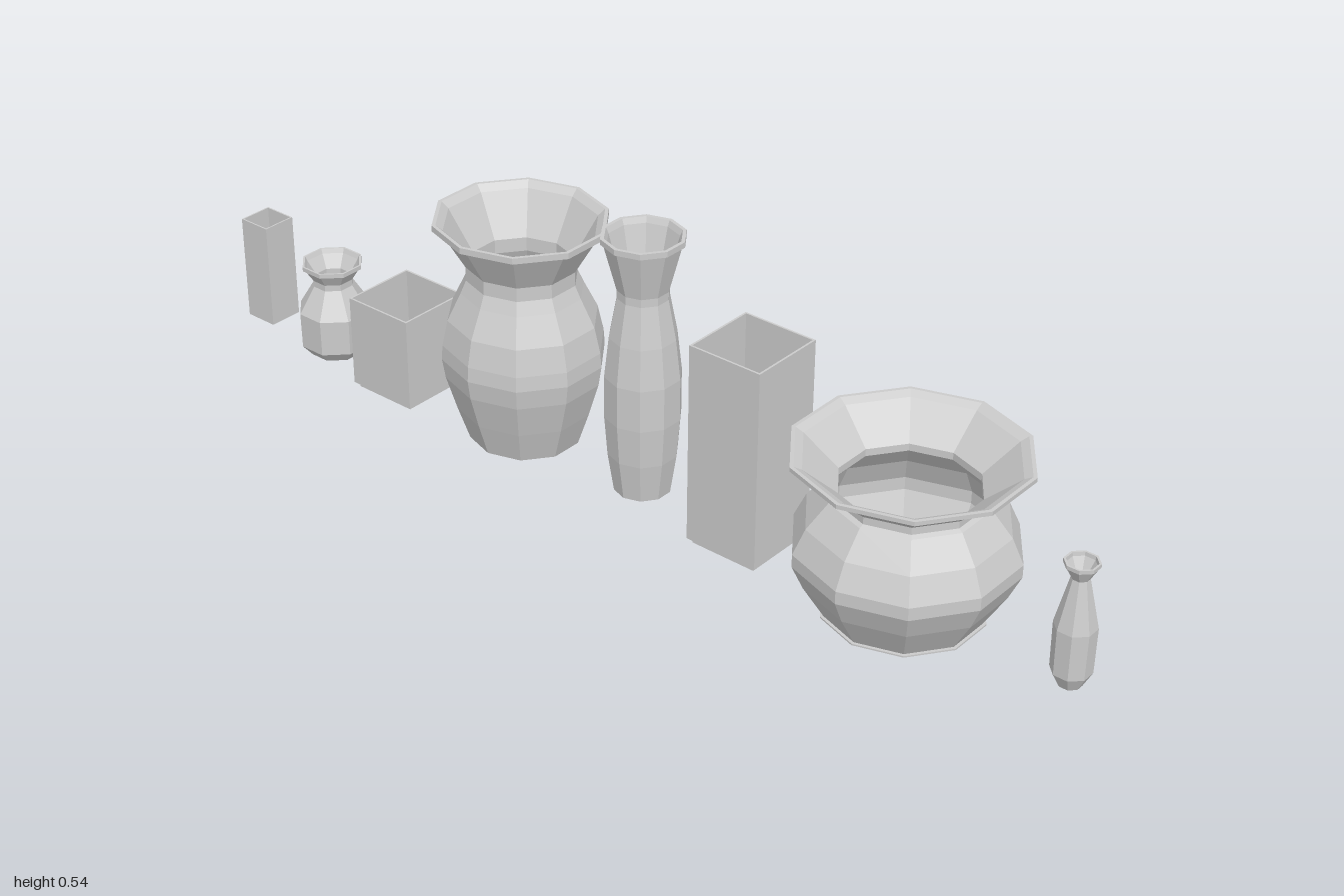
import * as THREE from 'three';

const grey = new THREE.MeshStandardMaterial({ color: 0xcccccc, flatShading: true, side: THREE.DoubleSide });

// Hollow faceted vessel: outer profile of [radius, y] from base to rim, returned down the inside.
function vessel(name, profile, { sides, turn, wall, x = 0, z, stretch = 1, scale = 1 }) {
  const outer = profile.map(([r, y]) => new THREE.Vector2(r * scale, y));
  const floorY = profile[0][1] + wall;
  const inner = outer.slice(1, -2).reverse().map(p => new THREE.Vector2(p.x - wall, Math.max(p.y, floorY)));
  const rim = outer[outer.length - 1];
  const lip = new THREE.Vector2(rim.x - wall, rim.y);
  const points = [new THREE.Vector2(0, profile[0][1]), ...outer, lip, ...inner, new THREE.Vector2(0, floorY)];
  const mesh = new THREE.Mesh(new THREE.LatheGeometry(points, sides, turn), grey);
  mesh.name = name;
  mesh.position.set(x, 0, z);
  mesh.scale.z = stretch;
  return mesh;
}

// Open square planter: tube of four walls, a floor and an optional inset plinth.
function planter(name, { x, z, width, depth, bottom, top, wall, plinth }) {
  const group = new THREE.Group();
  group.name = name;
  const add = (part, w, h, d, px, py, pz) => {
    const mesh = new THREE.Mesh(new THREE.BoxGeometry(w, h, d), grey);
    mesh.name = part;
    mesh.position.set(px, py, pz);
    group.add(mesh);
  };
  const h = top - bottom, mid = (top + bottom) / 2;
  for (const s of [-1, 1]) {
    add('sideWall', wall, h, depth, s * (width - wall) / 2, mid, 0);
    add('endWall', width - 2 * wall, h, wall, 0, mid, s * (depth - wall) / 2);
  }
  add('floor', width - 2 * wall, wall, depth - 2 * wall, 0, bottom + wall / 2, 0);
  if (plinth) add('plinth', width - 0.016, bottom, depth - 0.016, 0, bottom / 2, 0);
  group.position.set(x, 0, z);
  return group;
}

export function createModel() {
  const model = new THREE.Group();
  model.name = 'vaseCollection';
  const ten = { sides: 10, turn: Math.PI / 2, wall: 0.007 };
  // Eight-sided vessels have flat faces on the axes, so profiles give the half width
  const eight = { sides: 8, turn: Math.PI / 8, wall: 0.004, scale: 1 / Math.cos(Math.PI / 8) };

  model.add(
    vessel('budVase', [
      [0.02, 0.008], [0.034, 0.037], [0.035, 0.127], [0.015, 0.222], [0.028, 0.247], [0.029, 0.247], [0.029, 0.254],
    ], { ...eight, x: 0.002, z: 0.966 }),

    vessel('wideBowlVase', [
      [0.15, 0.009], [0.15, 0.012], [0.144, 0.012], [0.183, 0.076], [0.205, 0.124], [0.205, 0.149], [0.183, 0.197],
      [0.144, 0.244], [0.135, 0.248], [0.135, 0.262], [0.2, 0.318], [0.215, 0.318], [0.215, 0.326],
    ], { ...ten, z: 0.628 }),

    vessel('tallVase', [
      [0.055, 0.01], [0.067, 0.09], [0.073, 0.17], [0.073, 0.255], [0.064, 0.335], [0.049, 0.415], [0.049, 0.431],
      [0.074, 0.526], [0.079, 0.526], [0.079, 0.537],
    ], { ...ten, z: 0.036 }),

    vessel('roundVase', [
      [0.106, 0.012], [0.128, 0.08], [0.148, 0.15], [0.154, 0.19], [0.152, 0.22], [0.141, 0.272], [0.115, 0.327],
      [0.104, 0.353], [0.104, 0.381], [0.15, 0.462], [0.163, 0.462], [0.163, 0.474],
    ], { ...ten, z: -0.26, stretch: 1.05 }),

    vessel('smallVase', [
      [0.05, 0.002], [0.068, 0.025], [0.069, 0.1], [0.038, 0.155], [0.038, 0.168], [0.054, 0.195], [0.058, 0.195],
      [0.058, 0.204],
    ], { ...eight, z: -0.782 }),

    planter('tallPlanter', { x: -0.003, z: 0.287, width: 0.158, depth: 0.155, bottom: 0.01, top: 0.411, wall: 0.004, plinth: true }),
    planter('cubePlanter', { x: -0.003, z: -0.57, width: 0.158, depth: 0.155, bottom: 0.01, top: 0.2, wall: 0.004, plinth: true }),
    planter('slimPlanter', { x: -0.005, z: -0.964, width: 0.072, depth: 0.072, bottom: 0.021, top: 0.242, wall: 0.003, plinth: false }),
  );
  return model;
}
